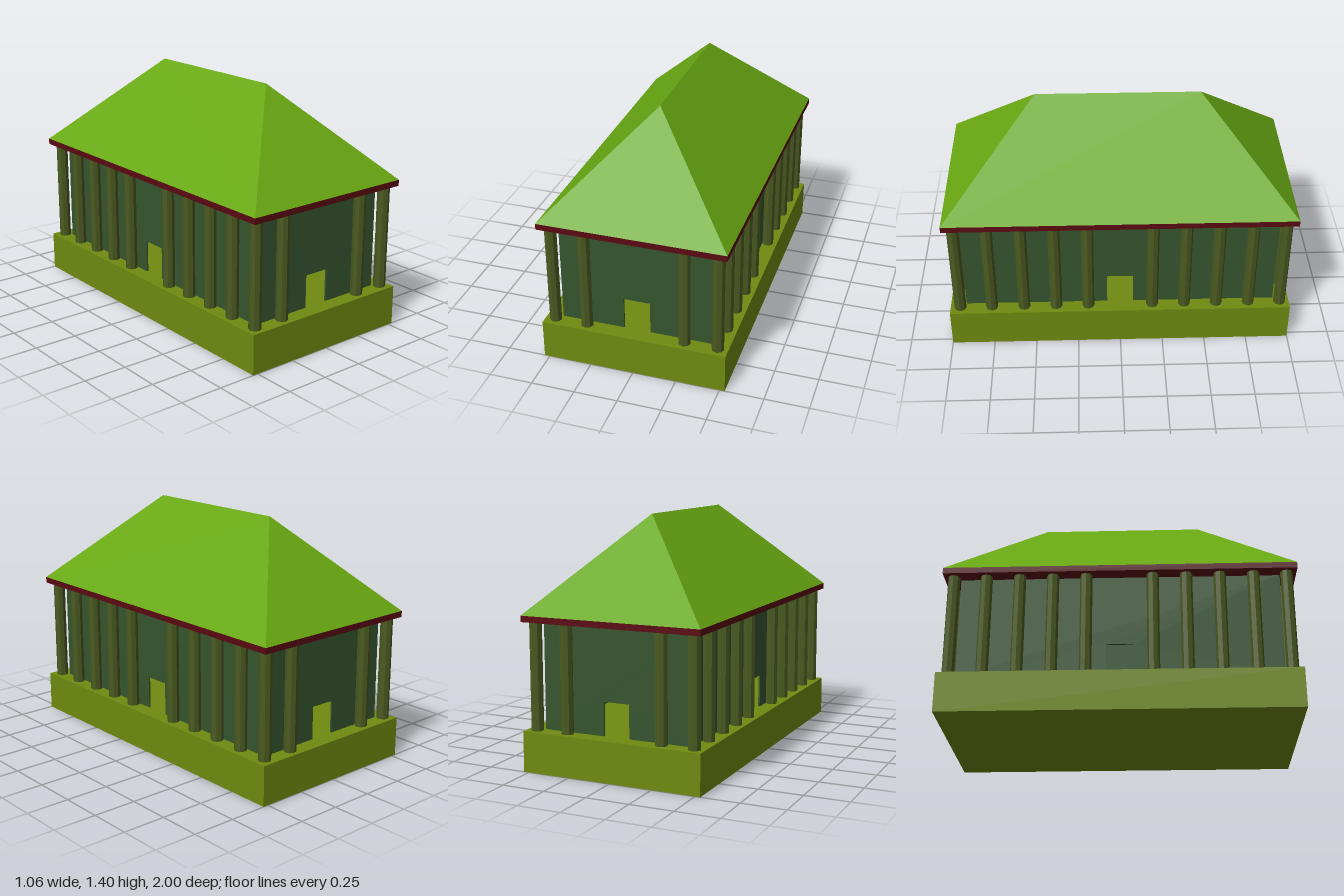
import * as THREE from 'three';
import { ConvexGeometry } from 'three/addons/geometries/ConvexGeometry.js';

const HALF_X = 0.53, HALF_Z = 1;            // platform and eaves
const FLOOR = 0.23, EAVE = 0.835, ROOF = 0.87, RIDGE = 1.4;
const WALL_X = 0.44, WALL_Z = 0.908, THICK = 0.01;
const DOOR_HALF = 0.076, DOOR_HEIGHT = 0.19;

const material = (color) => new THREE.MeshStandardMaterial({ color, flatShading: true });

function addMesh(parent, name, geometry, mat) {
  const mesh = new THREE.Mesh(geometry, mat);
  mesh.name = name;
  parent.add(mesh);
  return mesh;
}

// Box spanning the full plan between two heights
const slab = (y0, y1) =>
  new THREE.BoxGeometry(HALF_X * 2, y1 - y0, HALF_Z * 2).translate(0, (y0 + y1) / 2, 0);

// Thin wall with a doorway cut up from the floor; outer face at z = 0
function wallGeometry(halfWidth) {
  const h = EAVE - FLOOR;
  const shape = new THREE.Shape([
    [-halfWidth, 0], [-DOOR_HALF, 0], [-DOOR_HALF, DOOR_HEIGHT], [DOOR_HALF, DOOR_HEIGHT],
    [DOOR_HALF, 0], [halfWidth, 0], [halfWidth, h], [-halfWidth, h],
  ].map(([x, y]) => new THREE.Vector2(x, y)));
  return new THREE.ExtrudeGeometry(shape, { depth: THICK, bevelEnabled: false }).translate(0, 0, -THICK);
}

export function createModel() {
  const model = new THREE.Group();
  model.name = 'temple';
  const stone = material(0x6f8a10), trim = material(0x5a0a12);
  const roofMat = material(0x68a812), wallMat = material(0x35552e), columnMat = material(0x4a5a20);

  addMesh(model, 'platform', slab(0, FLOOR), stone);
  addMesh(model, 'eaves', slab(EAVE, ROOF), trim);

  // Hipped roof
  const roofPoints = [];
  for (const sz of [-1, 1]) {
    for (const sx of [-1, 1]) roofPoints.push(new THREE.Vector3(sx * HALF_X, ROOF, sz * HALF_Z));
    roofPoints.push(new THREE.Vector3(0, RIDGE, sz * (HALF_Z - HALF_X)));
  }
  addMesh(model, 'roof', new ConvexGeometry(roofPoints), roofMat);

  // Four walls, each with a central doorway
  const walls = new THREE.Group();
  walls.name = 'walls';
  model.add(walls);
  ['frontWall', 'leftWall', 'backWall', 'rightWall'].forEach((name, i) => {
    const side = i % 2 === 1;
    const wall = addMesh(walls, name, wallGeometry(side ? WALL_Z - THICK : WALL_X), wallMat);
    const angle = i * Math.PI / 2, reach = side ? WALL_X : WALL_Z;
    wall.rotation.y = angle;
    wall.position.set(Math.sin(angle) * reach, FLOOR, Math.cos(angle) * reach);
  });

  // Colonnade around the hall, open in front of each doorway
  const columns = new THREE.Group();
  columns.name = 'columns';
  model.add(columns);
  const columnGeometry = new THREE.CylinderGeometry(0.035, 0.035, EAVE - FLOOR, 8);
  const spots = [0.942, 0.756, 0.566, 0.377, 0.188].map((z) => [0.472, z]);
  spots.push([0.283, 0.942]);
  for (const [x, z] of spots)
    for (const sx of [-1, 1])
      for (const sz of [-1, 1])
        addMesh(columns, 'column', columnGeometry, columnMat)
          .position.set(sx * x, (FLOOR + EAVE) / 2, sz * z);

  return model;
}
